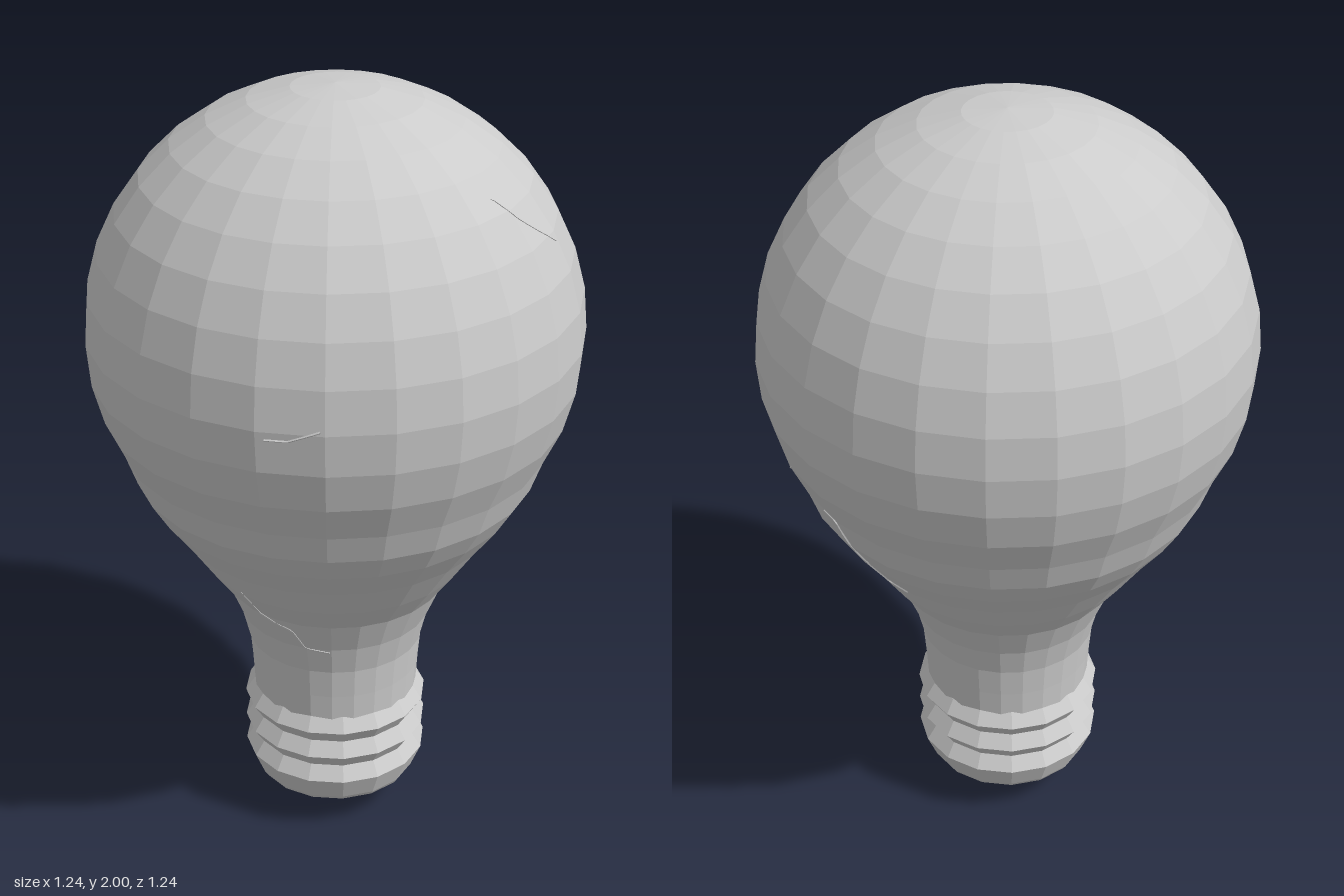
import * as THREE from 'three';

const SIDES = 24;
const material = new THREE.MeshStandardMaterial({ color: 0xcccccc, flatShading: true });
const toPoints = (list) => list.map(([r, y]) => new THREE.Vector2(r, y));

// Glass profile: flared neck, then a round dome in 10 degree steps
const neck = [[0.215, 0.34], [0.22, 0.42], [0.227, 0.5], [0.247, 0.58], [0.285, 0.67],
  [0.34, 0.745], [0.405, 0.84], [0.465, 0.92], [0.508, 0.99]];
const dome = [];
for (let a = 120; a >= 0; a -= 10) {
  const t = THREE.MathUtils.degToRad(a);
  dome.push([0.62 * Math.sin(t), 1.38 + 0.62 * Math.cos(t)]);
}
const glassProfile = [...neck, ...dome];

// Screw base profile: contact tip, shoulder, three thread ridges, collar
const baseProfile = [[0, 0], [0.06, 0.003], [0.09, 0.018], [0.135, 0.058], [0.205, 0.088], [0.213, 0.1]];
for (const y of [0.164, 0.24, 0.317]) baseProfile.push([0.24, y], [0.215, y + 0.038]);
baseProfile.push([0.0, 0.36]);

function lathe(name, profile, sides) {
  const mesh = new THREE.Mesh(new THREE.LatheGeometry(toPoints(profile), sides), material);
  mesh.name = name;
  return mesh;
}

// Point on the faceted glass at an angle (degrees from +z towards +x) and height
function onGlass([degrees, y]) {
  let i = 0;
  while (i < glassProfile.length - 2 && glassProfile[i + 1][1] < y) i++;
  const [r0, y0] = glassProfile[i], [r1, y1] = glassProfile[i + 1];
  const step = 360 / SIDES;
  const offCentre = (((degrees % step) + step) % step) - step / 2;
  const facet = Math.cos(Math.PI / SIDES) / Math.cos(THREE.MathUtils.degToRad(offCentre));
  const r = (r0 + (r1 - r0) * (y - y0) / (y1 - y0)) * facet;
  const t = THREE.MathUtils.degToRad(degrees);
  return new THREE.Vector3(r * Math.sin(t), y, r * Math.cos(t));
}

// Hairline cracks, each a short path over the glass
const crackPaths = [
  [[15, 1.8], [26, 1.81], [31, 1.76], [44, 1.67]],
  [[-71, 0.76], [-70, 0.67], [-52, 0.64], [-46, 0.58], [-31, 0.57]],
  [[-43, 1.36], [-38, 1.36], [-31, 1.39]],
  [[80, 1.1], [88, 1.15], [92, 1.18]],
  [[98, 1.07], [104, 1.07], [108, 0.93], [108, 0.84], [116, 0.83]],
  [[86, 0.65], [90, 0.75]],
];

function crack(path) {
  const curve = new THREE.CurvePath();
  for (let i = 0; i < path.length - 1; i++) {
    // split each stretch so that it follows the facets
    for (let k = 0; k < 4; k++) {
      const at = (f) => onGlass([0, 1].map((c) => THREE.MathUtils.lerp(path[i][c], path[i + 1][c], f)));
      curve.add(new THREE.LineCurve3(at(k / 4), at((k + 1) / 4)));
    }
  }
  const mesh = new THREE.Mesh(new THREE.TubeGeometry(curve, 24, 0.003, 4), material);
  mesh.name = 'crack';
  return mesh;
}

export function createModel() {
  const model = new THREE.Group();
  model.name = 'lightBulb';
  model.add(lathe('glassBulb', glassProfile, SIDES), lathe('screwBase', baseProfile, 16));
  const cracks = new THREE.Group();
  cracks.name = 'cracks';
  crackPaths.forEach((path) => cracks.add(crack(path)));
  model.add(cracks);
  return model;
}
